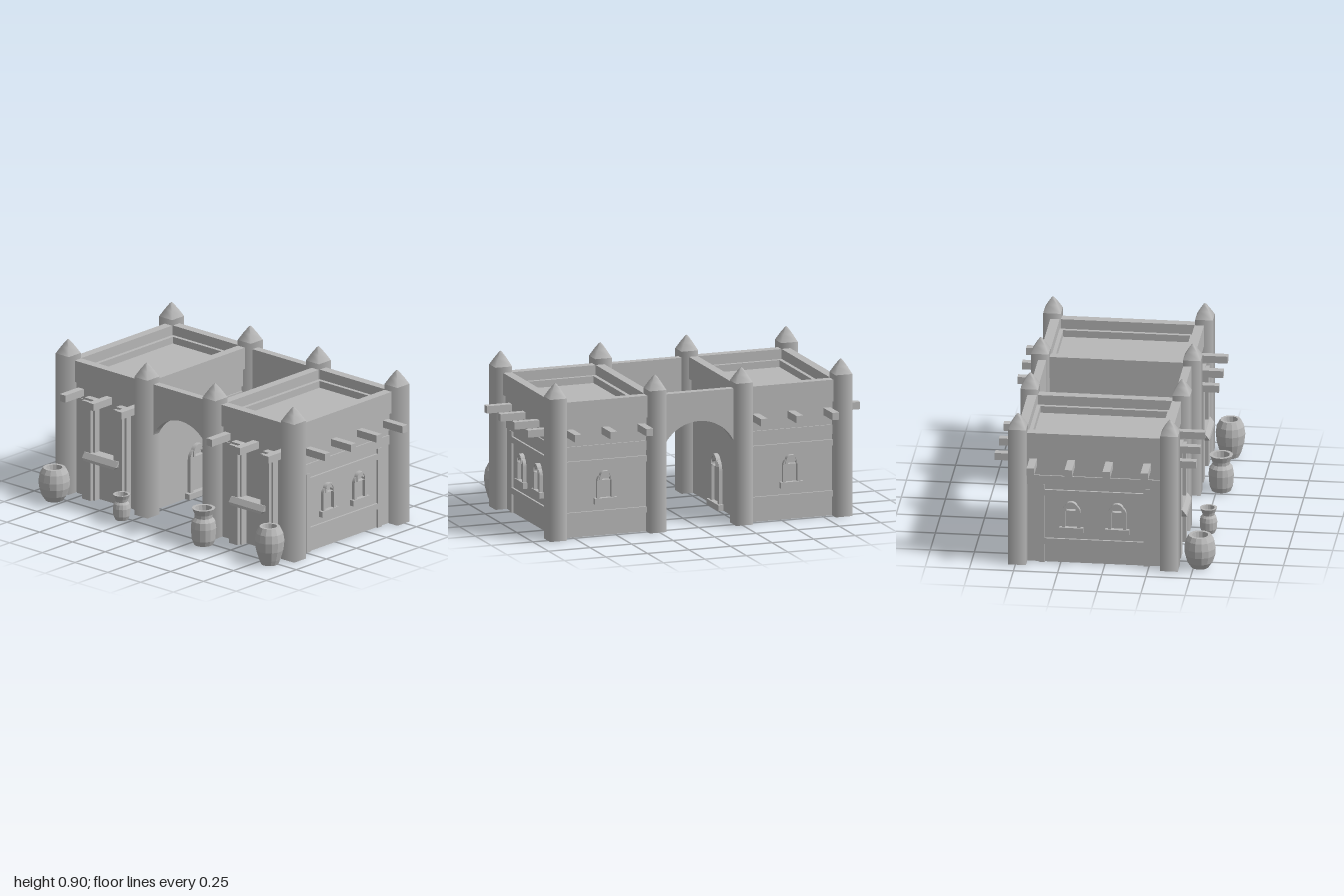
import * as THREE from 'three';

const stone = new THREE.MeshStandardMaterial({ color: 0xb8b8b8 });
stone.name = 'plain stone';

const CX = 0.56, CZ = -0.065; // house centre

function add(parent, name, geometry, x = 0, y = 0, z = 0) {
  const mesh = new THREE.Mesh(geometry, stone);
  mesh.name = name;
  mesh.position.set(x, y, z);
  parent.add(mesh);
  return mesh;
}

// Box from its extents, with x mirrored by s
function slab(parent, name, s, [x0, x1], [y0, y1], [z0, z1]) {
  return add(parent, name, new THREE.BoxGeometry(x1 - x0, y1 - y0, z1 - z0),
    s * (x0 + x1) / 2, (y0 + y1) / 2, (z0 + z1) / 2);
}

// Arched outline from y0 up, with its spring line at y1
function arch(path, r, y0, y1) {
  path.moveTo(-r, y0);
  path.lineTo(r, y0);
  path.lineTo(r, y1);
  path.absarc(0, y1, r, 0, Math.PI, false);
  path.lineTo(-r, y0);
  return path;
}

function extrude(shape, depth) {
  return new THREE.ExtrudeGeometry(shape, { depth, bevelEnabled: false, curveSegments: 12 });
}

// Arched opening frame with sill, facing +z
function archedWindow(name, height, r, sillDepth) {
  const g = new THREE.Group();
  g.name = name;
  const spring = height - r;
  const frame = arch(new THREE.Shape(), r, 0.03, spring);
  frame.holes.push(arch(new THREE.Path(), r * 0.66, 0.031, spring));
  add(g, 'windowFrame', extrude(frame, 0.02));
  add(g, 'windowSill', new THREE.BoxGeometry(r * 2.6, 0.034, sillDepth), 0, 0.017, sillDepth / 2);
  // small hood over the crown
  const hood = arch(new THREE.Shape(), r * 0.7, height - r * 0.75, height - r * 0.7 + 0.012);
  hood.holes.push(arch(new THREE.Path(), r * 0.5, height - r * 0.74, height - r * 0.7 + 0.012));
  add(g, 'windowHood', extrude(hood, 0.026));
  return g;
}

// Square post with a pointed cap
function post(parent, x, z) {
  const r = 0.05 * Math.SQRT2;
  const g = new THREE.Group();
  g.name = 'cornerPost';
  add(g, 'postShaft', new THREE.CylinderGeometry(r, r, 0.82, 4), 0, 0.41).rotation.y = Math.PI / 4;
  const cap = [[r, 0.82], [r * 0.56, 0.862], [r * 0.16, 0.896], [0, 0.905]];
  add(g, 'postCap', new THREE.LatheGeometry(cap.map(p => new THREE.Vector2(...p)), 4)).rotation.y = Math.PI / 4;
  g.position.set(x, 0, z);
  parent.add(g);
}

function house(s) {
  const g = new THREE.Group();
  g.name = s > 0 ? 'leftHouse' : 'rightHouse';

  // Walls and roof
  slab(g, 'walls', s, [0.28, 0.84], [0, 0.69], [-0.48, 0.355]);
  slab(g, 'upperBand', s, [0.27, 0.85], [0.555, 0.66], [-0.49, 0.355]);
  slab(g, 'lowerBand', s, [0.272, 0.848], [0.47, 0.525], [-0.488, 0.355]);

  // Parapet ring with an inner step
  const ring = (name, hx, hz, t, y0, y1) => {
    const shape = new THREE.Shape();
    shape.moveTo(-hx, -hz).lineTo(hx, -hz).lineTo(hx, hz).lineTo(-hx, hz);
    const hole = new THREE.Path();
    const a = hx - t, b = hz - t;
    hole.moveTo(-a, -b).lineTo(-a, b).lineTo(a, b).lineTo(a, -b);
    shape.holes.push(hole);
    add(g, name, extrude(shape, y1 - y0), s * CX, y0, CZ).rotation.x = -Math.PI / 2;
  };
  ring('parapet', 0.305, 0.435, 0.053, 0.66, 0.787);
  ring('parapetStep', 0.26, 0.39, 0.03, 0.67, 0.73);

  // Rails and stiles on the outer side and the back
  for (const y of [0.11, 0.405]) {
    slab(g, 'sideRail', s, [0.83, 0.852], [y, y + 0.035], [-0.345, 0.22]);
    slab(g, 'backRail', s, [0.3, 0.82], [y, y + 0.035], [-0.492, -0.47]);
  }
  for (const z of [-0.375, 0.22])
    slab(g, 'sideStile', s, [0.83, 0.852], [0, 0.47], [z, z + 0.035]);

  // Roof beams poking through the walls
  for (const z of [-0.405, -0.19, 0.025, 0.24])
    slab(g, 'sideBeam', s, [0.8, 1], [0.585, 0.627], [z - 0.021, z + 0.021]);
  for (const x of [0.345, 0.56, 0.775]) {
    slab(g, 'frontBeam', s, [x - 0.021, x + 0.021], [0.585, 0.627], [0.3, 0.51]);
    slab(g, 'backBeam', s, [x - 0.021, x + 0.021], [0.585, 0.627], [-0.63, -0.44]);
  }

  // Outer, back and passage openings
  const place = (w, x, y, z, turn) => {
    w.position.set(x, y, z);
    w.rotation.y = turn;
    g.add(w);
  };
  for (const z of [0.07, -0.19])
    place(archedWindow('sideWindow', 0.178, 0.052, 0.026), s * 0.84, 0.185, z, s * Math.PI / 2);
  place(archedWindow('backWindow', 0.178, 0.052, 0.026), s * CX, 0.185, -0.48, Math.PI);
  place(archedWindow('passageDoorway', 0.3, 0.073, 0.032), s * 0.28, 0, CZ, -s * Math.PI / 2);

  // Front pilasters with rounded tops
  for (const x of [0.44, 0.68]) {
    const outer = new THREE.Shape();
    const e = 0.02, h = 0.046, top = 0.597;
    outer.moveTo(-h, 0).lineTo(h, 0).lineTo(h, top - e);
    outer.quadraticCurveTo(h, top, h - e, top);
    outer.lineTo(e - h, top);
    outer.quadraticCurveTo(-h, top, -h, top - e);
    add(g, 'pilaster', extrude(outer, 0.045), s * x, 0, 0.35);
    slab(g, 'pilasterFace', s, [x - 0.033, x + 0.033], [0, 0.585], [0.39, 0.415]);
  }
  for (const x of [0.33, 0.765])
    slab(g, 'frontPanel', s, [x - 0.025, x + 0.035], [0, 0.57], [0.35, 0.362]);

  // Sloping awning between the pilasters, narrower at its lower edge
  const slope = new THREE.Shape();
  slope.moveTo(0.35, 0.24).lineTo(0.445, 0.24).lineTo(0.442, 0.255).lineTo(0.42, 0.285).lineTo(0.35, 0.285);
  const awning = extrude(slope, 0.26);
  awning.translate(0, 0, -0.13).rotateY(-Math.PI / 2).scale(1, 1, 1);
  const p = awning.attributes.position;
  for (let i = 0; i < p.count; i++)
    if (p.getY(i) < 0.25) p.setX(i, p.getX(i) * 0.88);
  awning.computeVertexNormals();
  add(g, 'awning', awning, s * CX);

  // Posts at the corners
  for (const x of [0.26, 0.86])
    for (const z of [-0.49, 0.37]) post(g, s * x, z);
  return g;
}

// Faceted clay jar, hollow at the mouth
function jar(parent, name, x, z, profile) {
  const [rTop, yTop] = profile[profile.length - 1];
  const points = [[0, 0], ...profile, [rTop * 0.72, yTop], [rTop * 0.65, yTop * 0.8], [0, yTop * 0.75]];
  const geo = new THREE.LatheGeometry(points.map(q => new THREE.Vector2(...q)), 14).toNonIndexed();
  geo.computeVertexNormals();
  add(parent, name, geo, x, 0, z);
}

export function createModel() {
  const model = new THREE.Group();
  model.name = 'gatehouse';
  model.add(house(1), house(-1));

  // Arched walls joining the houses at front and back
  const wall = new THREE.Shape();
  wall.moveTo(-0.27, 0.38).lineTo(-0.235, 0.38);
  wall.absarc(0, 0.38, 0.235, Math.PI, 0, true);
  wall.lineTo(0.27, 0.38).lineTo(0.27, 0.785).lineTo(-0.27, 0.785);
  const wallGeometry = new THREE.ExtrudeGeometry(wall, { depth: 0.046, bevelEnabled: false, curveSegments: 24 });
  add(model, 'frontArch', wallGeometry, 0, 0, 0.322);
  add(model, 'backArch', wallGeometry, 0, 0, -0.5);

  // Jars by the front wall
  jar(model, 'wideJar', -0.815, 0.535,
    [[0.05, 0], [0.074, 0.035], [0.087, 0.08], [0.089, 0.12], [0.08, 0.165], [0.064, 0.193]]);
  jar(model, 'tallJar', 0.815, 0.52,
    [[0.05, 0], [0.062, 0.03], [0.078, 0.085], [0.084, 0.14], [0.077, 0.185], [0.058, 0.222]]);
  jar(model, 'smallNeckedJar', -0.31, 0.525,
    [[0.036, 0], [0.047, 0.025], [0.05, 0.07], [0.044, 0.095], [0.034, 0.108], [0.038, 0.125], [0.049, 0.15]]);
  jar(model, 'largeNeckedJar', 0.315, 0.525,
    [[0.055, 0], [0.067, 0.03], [0.072, 0.1], [0.066, 0.14], [0.05, 0.16], [0.052, 0.18], [0.067, 0.215]]);
  return model;
}
